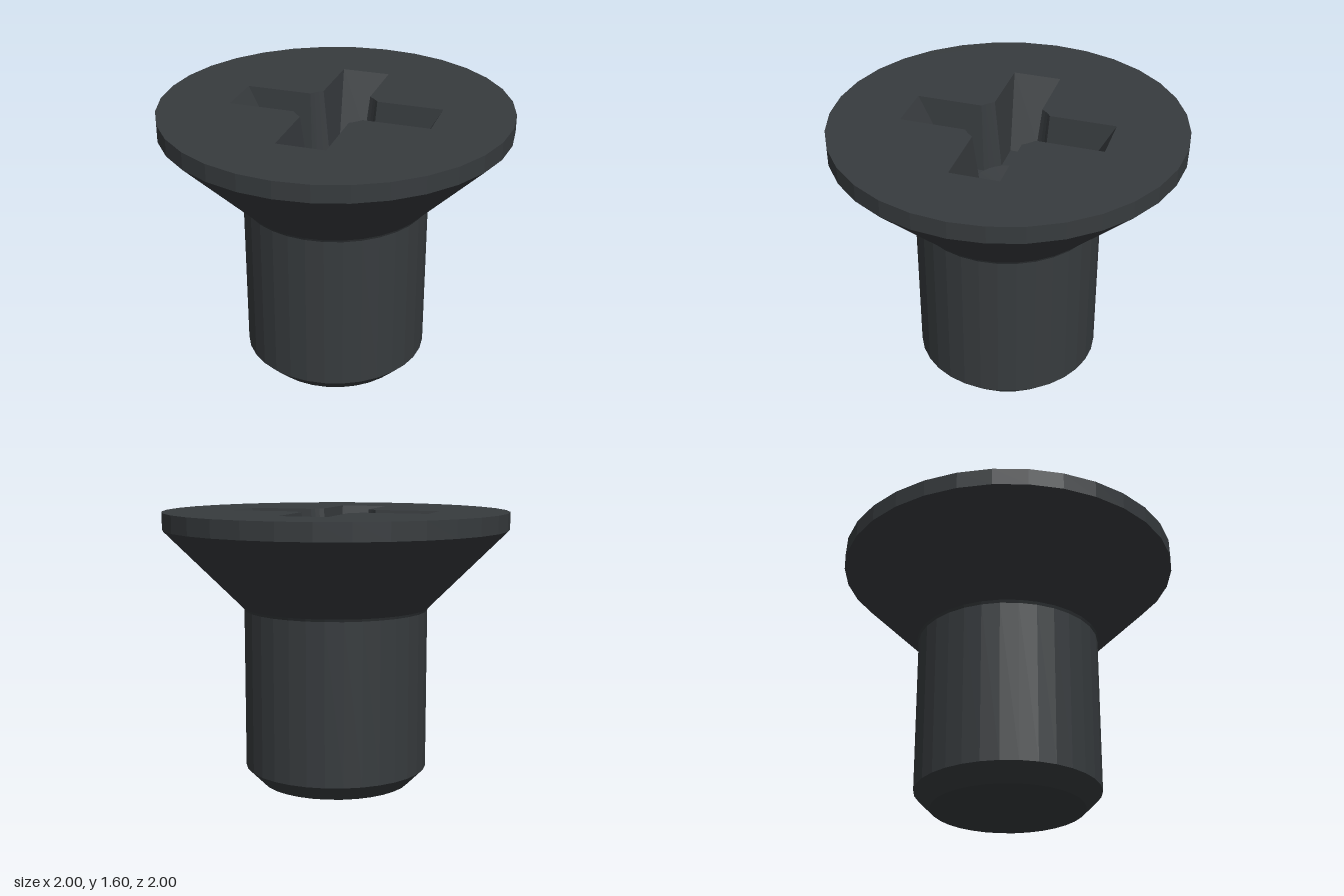
import * as THREE from 'three';

const SIDES = 32;
const TOP = 1.6, FLOOR = 1.2, TIP = 1.15; // head face, recess floor, centre of recess

// Outline of the cross recess at one height: four arms joined by round corners
function crossLoop(reach, half, radius, y) {
  const a = Math.asin(half / radius);
  const loop = [];
  for (let arm = 0; arm < 4; arm++) {
    const turn = arm * Math.PI / 2;
    const add = (x, z) => loop.push(new THREE.Vector3(
      x * Math.cos(turn) - z * Math.sin(turn), y, x * Math.sin(turn) + z * Math.cos(turn)));
    add(reach, -half);
    add(reach, half);
    for (let i = 0; i <= 3; i++) {
      const t = a + (Math.PI / 2 - 2 * a) * i / 3;
      add(radius * Math.cos(t), radius * Math.sin(t));
    }
  }
  return loop;
}

function meshFromTriangles(name, triangles, material) {
  const geometry = new THREE.BufferGeometry().setFromPoints(triangles);
  geometry.computeVertexNormals();
  const mesh = new THREE.Mesh(geometry, material);
  mesh.name = name;
  return mesh;
}

export function createModel() {
  const group = new THREE.Group();
  group.name = 'countersunkScrew';
  const material = new THREE.MeshStandardMaterial({ color: 0x373b3e, flatShading: true });

  const lathe = (name, profile) => {
    const points = profile.map(([r, y]) => new THREE.Vector2(r, y));
    const mesh = new THREE.Mesh(new THREE.LatheGeometry(points, SIDES), material);
    mesh.name = name;
    group.add(mesh);
  };

  // Shank with chamfered end, and conical head with a straight rim
  lathe('shank', [[0, 0], [0.44, 0], [0.535, 0.095], [0.535, 1.03]]);
  lathe('head', [[0.535, 1.03], [0.543, 1.045], [1, 1.5], [1, TOP]]);

  // Head face with the cross-shaped opening
  const upper = crossLoop(0.58, 0.14, 0.244, TOP);
  const lower = crossLoop(0.355, 0.095, 0.2, FLOOR);
  const disc = new THREE.Shape();
  for (let i = 0; i < SIDES; i++) {
    const t = i * 2 * Math.PI / SIDES;
    disc[i ? 'lineTo' : 'moveTo'](Math.cos(t), Math.sin(t));
  }
  disc.holes.push(new THREE.Path(upper.map(p => new THREE.Vector2(p.x, -p.z))));
  const face = new THREE.Mesh(new THREE.ShapeGeometry(disc), material);
  face.name = 'headFace';
  face.rotation.x = -Math.PI / 2;
  face.position.y = TOP;
  group.add(face);

  // Sloping recess walls, facing inward
  const walls = [];
  upper.forEach((p, i) => {
    const j = (i + 1) % upper.length;
    walls.push(p, lower[j], upper[j], p, lower[i], lower[j]);
  });
  group.add(meshFromTriangles('recessWalls', walls, material));

  // Flat arm floors around a shallow conical centre
  const floors = [], cone = [];
  const centre = new THREE.Vector3(0, TIP, 0);
  const half = Math.asin(0.095 / 0.2), steps = 6;
  for (let arm = 0; arm < 4; arm++) {
    const k = arm * 6;
    const rim = [];
    for (let i = 0; i <= steps; i++) {
      const t = arm * Math.PI / 2 - half + 2 * half * i / steps;
      rim.push(new THREE.Vector3(0.2 * Math.cos(t), FLOOR, 0.2 * Math.sin(t)));
    }
    for (let i = 0; i < steps; i++) floors.push(lower[k], rim[i], rim[i + 1]);
    floors.push(lower[k], rim[steps], lower[k + 1]);
    rim.push(...lower.slice(k + 3, k + 6));
    for (let i = 0; i < rim.length - 1; i++) cone.push(centre, rim[i + 1], rim[i]);
  }
  group.add(meshFromTriangles('recessArmFloors', floors, material));
  group.add(meshFromTriangles('recessCentre', cone, material));

  return group;
}
